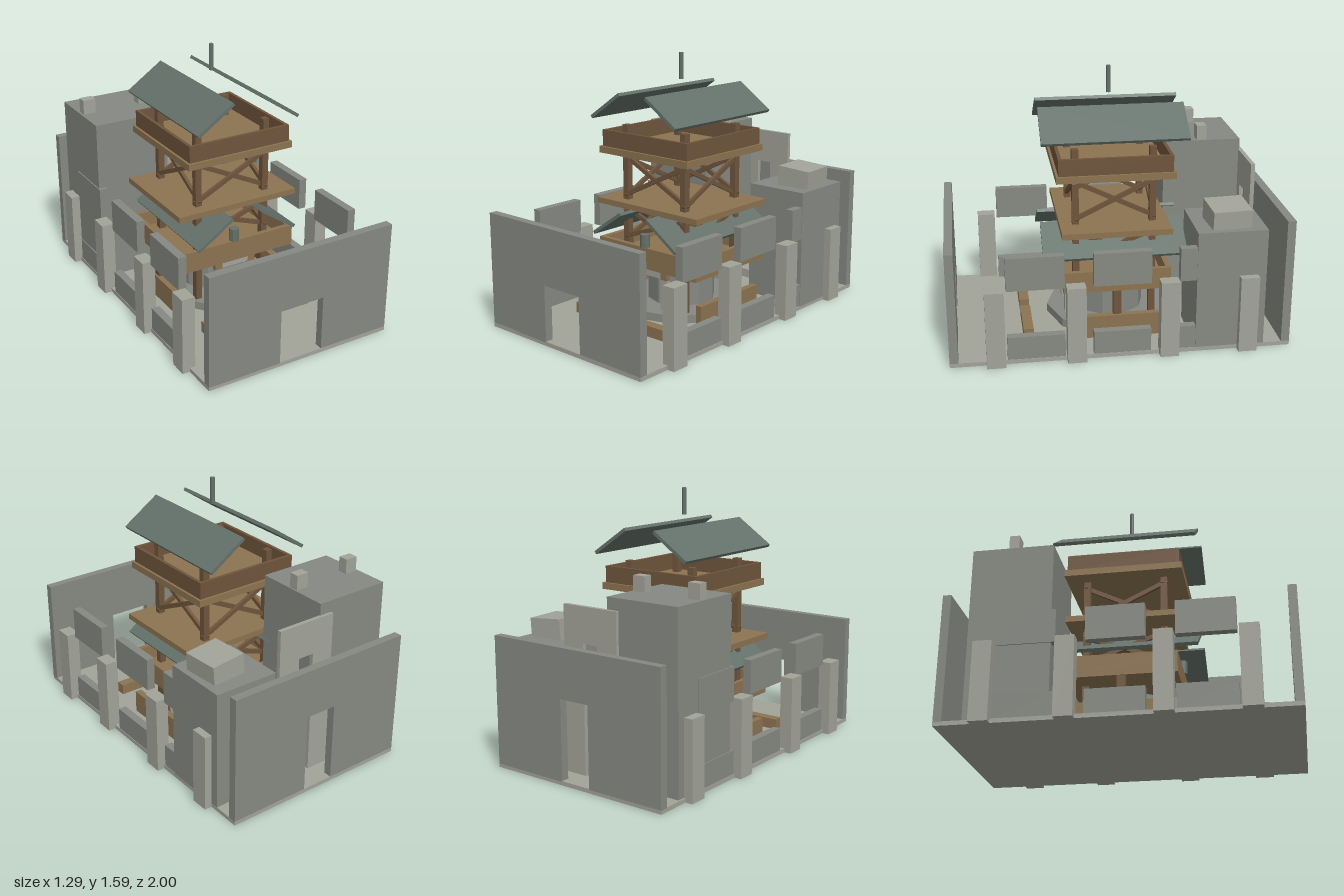
import * as THREE from 'three';

const mat = (color, side = THREE.FrontSide) => new THREE.MeshStandardMaterial({ color, flatShading: true, side });
const STONE = mat(0x868982), PALE = mat(0xa2a398);
const TIMBER = mat(0x6f553c), PLANK = mat(0x8c7350), SLATE = mat(0x64716a);

export function createModel() {
  const root = new THREE.Group();

  const add = (name, geo, material, x = 0, y = 0, z = 0) => {
    const m = new THREE.Mesh(geo, material);
    m.name = name;
    m.position.set(x, y, z);
    root.add(m);
    return m;
  };
  // box given by its extents along each axis
  const box = (name, material, [x0, x1], [y0, y1], [z0, z1]) =>
    add(name, new THREE.BoxGeometry(x1 - x0, y1 - y0, z1 - z0), material,
      (x0 + x1) / 2, (y0 + y1) / 2, (z0 + z1) / 2);
  // upright wall with a doorway in the middle
  const doorWall = (name, material, halfW, top, doorHalf, doorTop, z0, z1) => {
    const s = new THREE.Shape([[-halfW, 0.02], [-doorHalf, 0.02], [-doorHalf, doorTop], [doorHalf, doorTop],
      [doorHalf, 0.02], [halfW, 0.02], [halfW, top], [-halfW, top]].map(p => new THREE.Vector2(...p)));
    add(name, new THREE.ExtrudeGeometry(s, { depth: z1 - z0, bevelEnabled: false }), material, 0, 0, z0);
  };
  // four boards around a rectangle
  const rim = (name, material, hx, hz, y, t) => {
    for (const s of [-1, 1]) {
      box(name, material, [-hx, hx], y, s > 0 ? [hz - t, hz] : [-hz, t - hz]);
      box(name, material, s > 0 ? [hx - t, hx] : [-hx, t - hx], y, [t - hz, hz - t]);
    }
  };
  // crossed braces on all four sides of the post frame
  const braces = (name, y0, y1) => {
    const len = Math.hypot(0.5, y1 - y0), a = Math.atan2(y1 - y0, 0.5);
    for (let i = 0; i < 4; i++) {
      const side = new THREE.Group();
      side.name = name;
      side.rotation.y = i * Math.PI / 2;
      for (const s of [-1, 1]) {
        const b = new THREE.Mesh(new THREE.BoxGeometry(len, 0.026, 0.02), TIMBER);
        b.name = name;
        b.position.set(0, (y0 + y1) / 2, 0.23 + s * 0.008);
        b.rotation.z = s * a;
        side.add(b);
      }
      root.add(side);
    }
  };

  // Floor and end walls
  box('floor', PALE, [-0.6, 0.6], [0, 0.025], [-1, 1]);
  doorWall('frontWall', STONE, 0.6, 0.7, 0.14, 0.36, 0.95, 1);
  doorWall('backWall', STONE, 0.6, 0.79, 0.1, 0.5, -1, -0.95);
  doorWall('innerScreen', PALE, 0.19, 1.0, 0.05, 0.79, -0.86, -0.835);

  // Side walls with window gaps, and buttresses
  for (const s of [-1, 1]) {
    const wx = s > 0 ? [0.547, 0.597] : [-0.597, -0.547];
    const px = s > 0 ? [0.565, 0.645] : [-0.645, -0.565];
    for (const z of [-0.5, 0, 0.5]) {
      box('sillWall', STONE, wx, [0.02, 0.165], [z - 0.167, z + 0.167]);
      box('upperWall', STONE, wx, [0.455, 0.655], [z - 0.167, z + 0.167]);
    }
    for (const z of [-0.735, -0.27, 0.27, 0.735])
      box('buttress', PALE, px, [0, 0.47], [z - 0.055, z + 0.055]);
  }

  // Stone towers at the back
  box('tallTower', STONE, [-0.59, -0.11], [0.02, 1.07], [-0.84, -0.36]);
  for (const x of [-0.535, -0.16])
    box('towerBlock', PALE, [x - 0.04, x + 0.04], [1.07, 1.16], [-0.63, -0.57]);
  box('shortTower', STONE, [0.2, 0.6], [0.02, 0.745], [-0.84, -0.43]);
  const loose = add('tiltedBlock', new THREE.BoxGeometry(0.215, 0.13, 0.23), PALE, 0.455, 0.797, -0.63);
  loose.rotation.set(0, 0.07, -0.07);
  box('backStep', PALE, [-0.11, 0.17], [0.025, 0.08], [-0.8, -0.65]);

  // Round stone base
  add('hearthBase', new THREE.CylinderGeometry(0.39, 0.39, 0.073, 10), STONE, 0, 0.0385, 0);
  add('hearth', new THREE.CylinderGeometry(0.21, 0.21, 0.21, 10), STONE, 0, 0.18, 0);

  // Benches and small gate
  for (const s of [-1, 1]) {
    box('bench', PLANK, s > 0 ? [0.04, 0.36] : [-0.36, -0.04], [0.025, 0.09], [0.5, 0.56]);
    box('sideBench', PLANK, s > 0 ? [0.36, 0.4] : [-0.4, -0.36], [0.002, 0.165], [-0.25, 0.28]);
    box('gatePost', PALE, s > 0 ? [0.09, 0.14] : [-0.14, -0.09], [0.025, 0.265], [0.26, 0.29]);
    box('gateBracket', PLANK, s > 0 ? [0.09, 0.14] : [-0.14, -0.09], [0.265, 0.32], [0.26, 0.29]);
    box('sidePost', TIMBER, s > 0 ? [0.345, 0.385] : [-0.385, -0.345], [0.025, 0.32], [-0.025, 0.025]);
  }
  box('gateLintel', PALE, [-0.09, 0.09], [0.27, 0.32], [0.26, 0.29]);

  // Timber posts and braces
  for (const x of [-0.23, 0.23]) for (const z of [-0.23, 0.23])
    box('post', TIMBER, [x - 0.02, x + 0.02], [0.025, 1.16], [z - 0.02, z + 0.02]);
  braces('lowerBrace', 0.46, 0.64);
  braces('upperBrace', 0.72, 0.965);

  // Platforms
  box('lowerDeck', PLANK, [-0.39, 0.39], [0.32, 0.355], [-0.32, 0.32]);
  rim('lowerRailing', PLANK, 0.39, 0.32, [0.355, 0.45], 0.03);
  box('middleDeck', PLANK, [-0.4, 0.4], [0.665, 0.7], [-0.325, 0.325]);
  box('topDeck', PLANK, [-0.35, 0.35], [0.99, 1.03], [-0.35, 0.35]);
  rim('topRailing', TIMBER, 0.335, 0.335, [1.03, 1.13], 0.02);

  // Sloping roof panels, two tiers
  for (const y of [0.585, 1.297]) for (const s of [-1, 1]) {
    const panel = add('roofPanel', new THREE.BoxGeometry(0.275, 0.02, 0.86), SLATE, s * 0.217, y, 0);
    panel.rotation.z = -s * 0.595;
  }

  // Ridge pole and small pot on the lower platform
  add('ridgePole', new THREE.CylinderGeometry(0.0135, 0.0135, 0.16, 8), SLATE, 0, 1.51, 0);
  add('pot', new THREE.CylinderGeometry(0.03, 0.03, 0.08, 8), SLATE, -0.02, 0.49, 0.305);

  return root;
}
